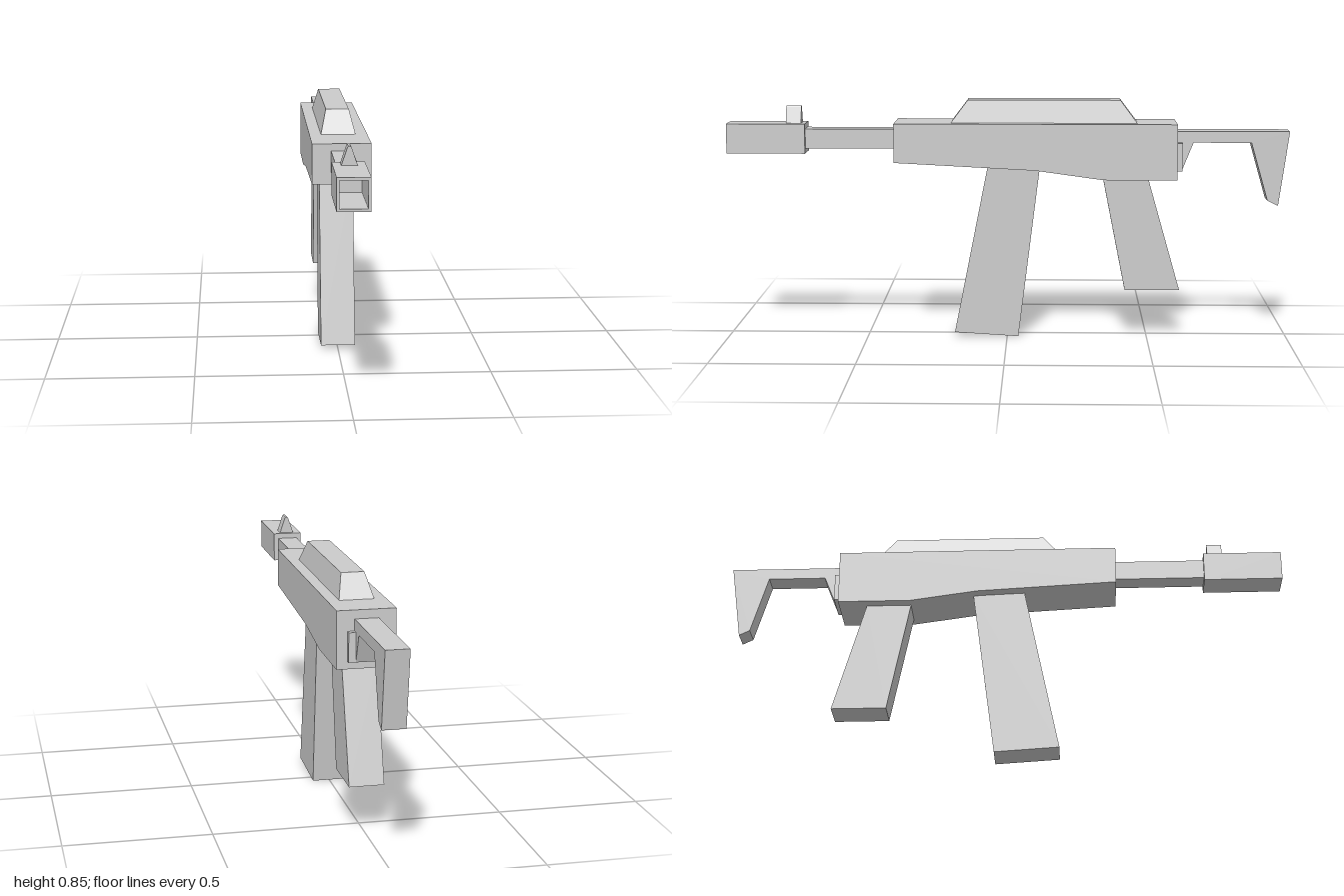
import * as THREE from 'three';

const material = new THREE.MeshStandardMaterial({ color: 0xcccccc, flatShading: true });

function outline(points) {
  return new THREE.Shape(points.map(([a, b]) => new THREE.Vector2(a, b)));
}

export function createModel() {
  const group = new THREE.Group();

  function add(name, geometry) {
    const mesh = new THREE.Mesh(geometry, material);
    mesh.name = name;
    group.add(mesh);
    return mesh;
  }

  // Side outline given as [z, y], extruded evenly across x
  function sidePart(name, width, points) {
    const geometry = new THREE.ExtrudeGeometry(outline(points), { depth: width, bevelEnabled: false });
    geometry.translate(0, 0, -width / 2).rotateY(-Math.PI / 2);
    return add(name, geometry);
  }

  function box(name, width, y0, y1, z0, z1) {
    const geometry = new THREE.BoxGeometry(width, y1 - y0, z1 - z0);
    geometry.translate(0, (y0 + y1) / 2, (z0 + z1) / 2);
    return add(name, geometry);
  }

  // Receiver with its stepped underside
  sidePart('receiver', 0.2, [
    [0.4, 0.77], [0.4, 0.632], [-0.1, 0.606], [-0.34, 0.573], [-0.6, 0.573], [-0.6, 0.77],
  ]);

  // Top cover: a box whose upper corners are drawn inwards
  const cover = new THREE.BoxGeometry(0.12, 0.08, 0.66);
  cover.translate(0, 0.81, -0.13);
  const corners = cover.attributes.position;
  for (let i = 0; i < corners.count; i++) {
    if (corners.getY(i) > 0.81) {
      corners.setX(i, Math.sign(corners.getX(i)) * 0.04);
      corners.setZ(i, corners.getZ(i) > -0.13 ? 0.14 : -0.4);
    }
  }
  cover.computeVertexNormals();
  add('topCover', cover);

  // Magazine and grip
  sidePart('magazine', 0.12, [[0.07, 0.613], [0.188, 0.014], [-0.04, 0], [-0.115, 0.606]]);
  sidePart('grip', 0.12, [[-0.34, 0.574], [-0.42, 0.172], [-0.615, 0.172], [-0.5, 0.574]]);

  // Barrel
  box('barrel', 0.072, 0.675, 0.745, 0.4, 0.73);

  // Hollow square muzzle, closed at the back
  const square = (h) => [[-h, 0.711 - h], [h, 0.711 - h], [h, 0.711 + h], [-h, 0.711 + h]];
  const muzzle = outline(square(0.053));
  muzzle.holes.push(outline(square(0.044)));
  const tube = new THREE.ExtrudeGeometry(muzzle, { depth: 0.27, bevelEnabled: false });
  tube.translate(0, 0, 0.73);
  add('muzzle', tube);
  box('muzzleBack', 0.106, 0.658, 0.764, 0.72, 0.73);

  // Front sight
  const sight = new THREE.ExtrudeGeometry(
    outline([[-0.026, 0.764], [0.026, 0.764], [0.007, 0.82], [0.004, 0.825], [-0.004, 0.825], [-0.007, 0.82]]),
    { depth: 0.054, bevelEnabled: false },
  );
  sight.translate(0, 0, 0.736);
  add('frontSight', sight);

  // Stock with its mounting plate
  sidePart('stock', 0.08, [
    [-0.59, 0.74], [-0.59, 0.6], [-0.62, 0.6], [-0.66, 0.7], [-0.865, 0.7],
    [-0.925, 0.493], [-0.963, 0.475], [-1, 0.74],
  ]);
  box('stockMount', 0.128, 0.6, 0.7, -0.62, -0.6);

  return group;
}
